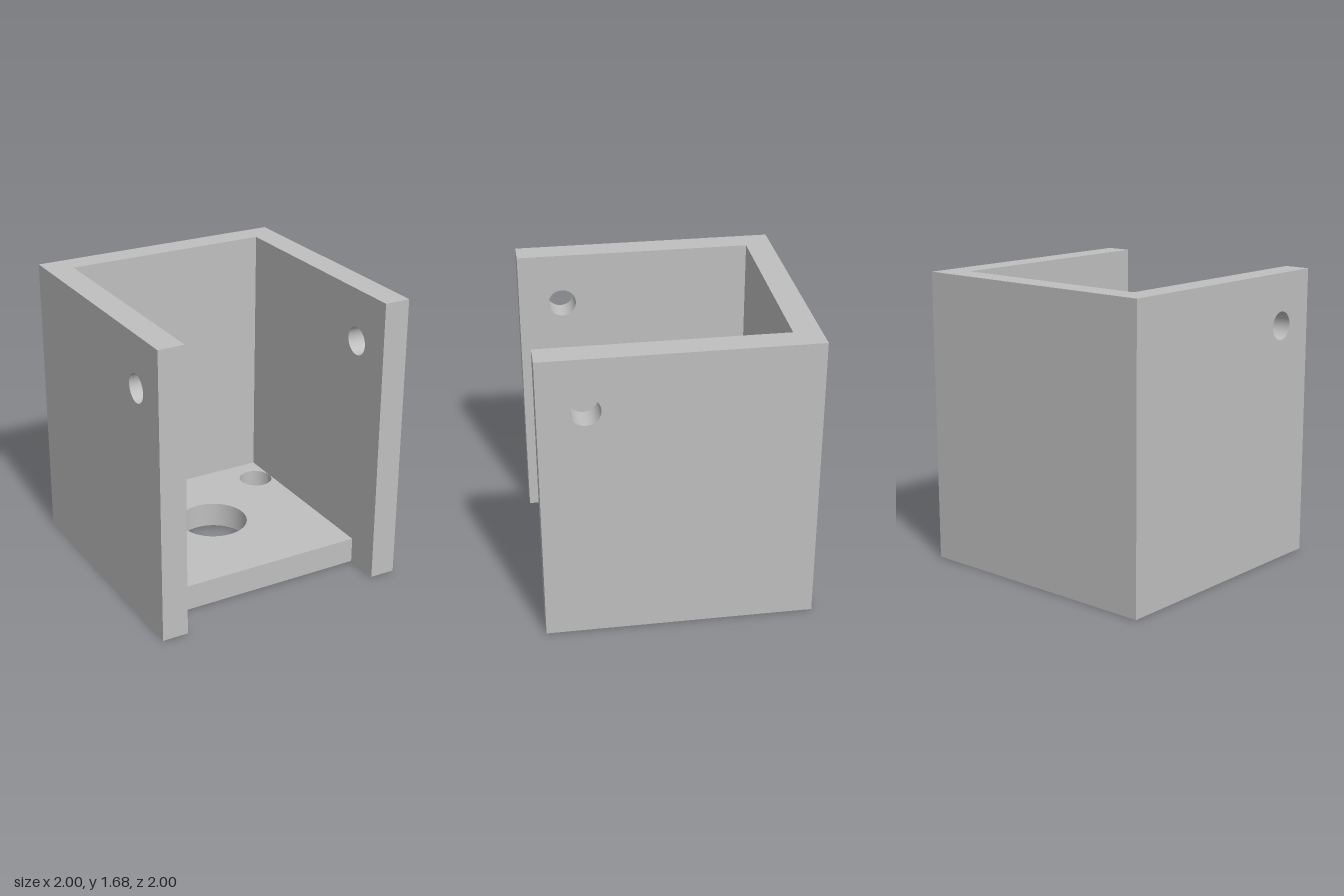
import * as THREE from 'three';
import { toCreasedNormals } from 'three/addons/utils/BufferGeometryUtils.js';

const HALF = 0.755;       // half the outer width and depth
const WALL = 0.151;       // plate thickness
const HEIGHT = 1.685;
const INNER = HALF - WALL;
const FLOOR_FRONT = 0.546;

// Rectangular plate with round holes [x, y, radius], extruded along +z
function plate(x0, y0, x1, y1, depth, holes) {
  const shape = new THREE.Shape();
  shape.moveTo(x0, y0).lineTo(x1, y0).lineTo(x1, y1).lineTo(x0, y1).closePath();
  for (const [x, y, r] of holes) {
    shape.holes.push(new THREE.Path().absarc(x, y, r, 0, Math.PI * 2, true));
  }
  const geo = new THREE.ExtrudeGeometry(shape, { depth, bevelEnabled: false, curveSegments: 48 });
  return toCreasedNormals(geo, 0.6);
}

export function createModel() {
  const grey = new THREE.MeshStandardMaterial({ color: 0xbfbfbf });
  grey.name = 'plain grey';
  const model = new THREE.Group();
  model.name = 'bracket';

  const add = (name, geometry) => {
    const mesh = new THREE.Mesh(geometry, grey);
    mesh.name = name;
    model.add(mesh);
  };

  // Side walls, each with a cross-pin hole near the upper front corner
  for (const [name, x] of [['rightWall', -HALF], ['leftWall', INNER]]) {
    const geo = plate(-HALF, 0, HALF, HEIGHT, WALL, [[-0.5, 1.385, 0.081]]);
    geo.rotateY(Math.PI / 2).translate(x, 0, 0);
    add(name, geo);
  }

  // Back wall between the sides
  const back = new THREE.BoxGeometry(2 * INNER, HEIGHT, WALL);
  back.translate(0, HEIGHT / 2, -HALF + WALL / 2);
  add('backWall', back);

  // Floor with a large centre hole and two mounting holes, set back from the front
  const floor = plate(-INNER, -FLOOR_FRONT, INNER, INNER, WALL, [
    [0, 0.054, 0.203],
    [-0.502, 0.403, 0.1015],
    [0.502, 0.403, 0.1015],
  ]);
  floor.rotateX(-Math.PI / 2);
  add('floor', floor);

  // The whole bracket stands turned about the vertical axis
  model.rotation.y = THREE.MathUtils.degToRad(24.5);
  return model;
}
